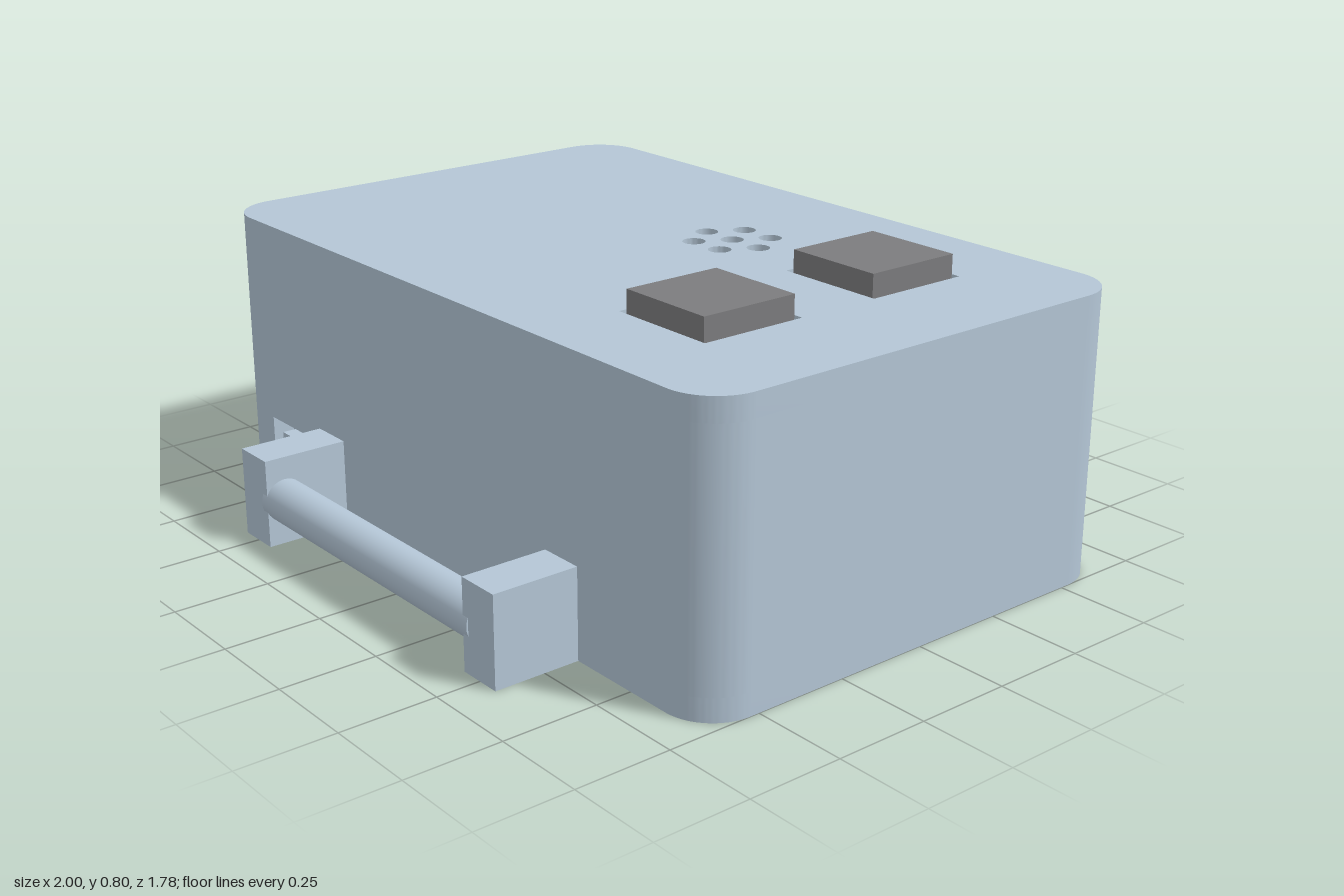
import * as THREE from 'three';
import { toCreasedNormals } from 'three/addons/utils/BufferGeometryUtils.js';

const W = 1, D = 0.655, H = 0.745, R = 0.13, T = 0.06;

const material = (name, color) => {
  const m = new THREE.MeshStandardMaterial({ color });
  m.name = name;
  return m;
};

// Rounded rectangle outline given by its centre, size and corner radius
function roundRect(path, cx, cy, w, h, r) {
  const x = w / 2 - r, y = h / 2 - r;
  path.moveTo(cx + x, cy - y - r);
  path.absarc(cx + x, cy - y, r, -Math.PI / 2, 0);
  path.absarc(cx + x, cy + y, r, 0, Math.PI / 2);
  path.absarc(cx - x, cy + y, r, Math.PI / 2, Math.PI);
  path.absarc(cx - x, cy - y, r, Math.PI, Math.PI * 1.5);
  path.closePath();
  return path;
}

function rect(path, x0, y0, x1, y1) {
  path.moveTo(x0, y0);
  path.lineTo(x1, y0);
  path.lineTo(x1, y1);
  path.lineTo(x0, y1);
  path.closePath();
  return path;
}

function extrude(shape, depth, holes = []) {
  shape.holes.push(...holes);
  const g = new THREE.ExtrudeGeometry(shape, { depth, bevelEnabled: false, curveSegments: 14 });
  return toCreasedNormals(g, 0.5);
}

export function createModel() {
  const shell = material('pale blue shell', 0xb4c6d6);
  const grey = material('button grey', 0x7c7c7e);
  const purple = material('battery purple', 0x9a6cb4);
  const model = new THREE.Group();

  const add = (name, geometry, mat, x = 0, y = 0, z = 0) => {
    const mesh = new THREE.Mesh(geometry, mat);
    mesh.name = name;
    mesh.position.set(x, y, z);
    model.add(mesh);
    return mesh;
  };
  const box = (name, mat, x0, x1, y0, y1, z0, z1) =>
    add(name, new THREE.BoxGeometry(x1 - x0, y1 - y0, z1 - z0), mat,
      (x0 + x1) / 2, (y0 + y1) / 2, (z0 + z1) / 2);

  // Lid with button openings and a ring of speaker holes
  const buttonZ = [-0.26, 0.26];
  const speaker = [[0.105, -0.2]];
  for (let i = 0; i < 6; i++) {
    const a = i * Math.PI / 3;
    speaker.push([0.105 + 0.1 * Math.cos(a), -0.2 + 0.1 * Math.sin(a)]);
  }
  const lidHoles = buttonZ.map(z => roundRect(new THREE.Path(), 0.55, -z, 0.3, 0.29, 0.002));
  for (const [x, z] of speaker) {
    lidHoles.push(new THREE.Path().absarc(x, -z, 0.03, 0, Math.PI * 2));
  }
  const outline = () => roundRect(new THREE.Shape(), 0, 0, 2 * W, 2 * D, R);
  add('lid', extrude(outline(), T, lidHoles).rotateX(-Math.PI / 2), shell, 0, H - T, 0);

  // Base with the battery opening
  const baseHole = roundRect(new THREE.Path(), -0.5, -0.11, 0.38, 0.37, 0.06);
  add('base', extrude(outline(), T, [baseHole]).rotateX(-Math.PI / 2), shell);

  // Side walls: switch window in front, cable slot on the right
  const wall = (half, holes) =>
    extrude(rect(new THREE.Shape(), -half, T, half, H - T), T, holes);
  const fx = W - R, fz = D - R;
  add('frontWall', wall(fx, [rect(new THREE.Path(), -0.81, 0.085, -0.635, 0.195)]), shell, 0, 0, D - T);
  add('backWall', wall(fx), shell, 0, 0, -D);
  add('leftWall', wall(fz).rotateY(Math.PI / 2), shell, W - T, 0, 0);
  const slot = roundRect(new THREE.Path(), 0.175, 0.6, 0.37, 0.135, 0.064);
  add('rightWall', wall(fz, [slot]).rotateY(-Math.PI / 2), shell, -W + T, 0, 0);

  // Rounded corner posts
  [[1, 1], [-1, 1], [-1, -1], [1, -1]].forEach(([sx, sy], i) => {
    const a = i * Math.PI / 2;
    const s = new THREE.Shape();
    s.absarc(0, 0, R, a, a + Math.PI / 2, false);
    s.absarc(0, 0, R - T, a + Math.PI / 2, a, true);
    s.closePath();
    add('cornerPost', extrude(s, H - 2 * T).rotateX(-Math.PI / 2), shell, sx * fx, T, -sy * fz);
  });

  // Square buttons with their flanges, and the speaker below its holes
  for (const z of buttonZ) {
    box('button', grey, 0.415, 0.685, H - 0.04, 0.8, z - 0.135, z + 0.135);
    box('buttonFlange', grey, 0.39, 0.71, H - 0.09, H - T + 0.015 - 0.016, z - 0.155, z + 0.155);
  }
  add('speaker', new THREE.CylinderGeometry(0.17, 0.17, 0.05, 32), grey, 0.105, H - T - 0.03, -0.2);

  // Connector behind the cable slot
  box('connector', grey, -0.92, -0.87, 0.5, 0.68, -0.05, 0.4);

  // Slide switch in its recess
  box('switchBody', shell, -0.83, -0.615, 0.07, 0.21, D - 0.1, D - T - 0.001);
  box('switchSlider', shell, -0.75, -0.695, 0.11, 0.17, D - T - 0.01, D + 0.006);

  // Battery seen through the base
  box('batteryTray', purple, -0.72, -0.28, 0.09, 0.13, -0.1, 0.33);
  box('battery', purple, -0.66, -0.43, 0.035, 0.1, 0.05, 0.26);

  // Handles at front and back
  for (const s of [1, -1]) {
    for (const x of [-0.5, 0.5]) {
      const z = s * (D + 0.885) / 2;
      box('handleBracket', shell, x - 0.06, x + 0.06, 0, 0.235, z - 0.115, z + 0.115);
    }
    const bar = new THREE.CylinderGeometry(0.057, 0.057, 0.92, 32).rotateZ(Math.PI / 2);
    add('handleBar', bar, shell, 0, 0.118, s * 0.833);
  }
  return model;
}
